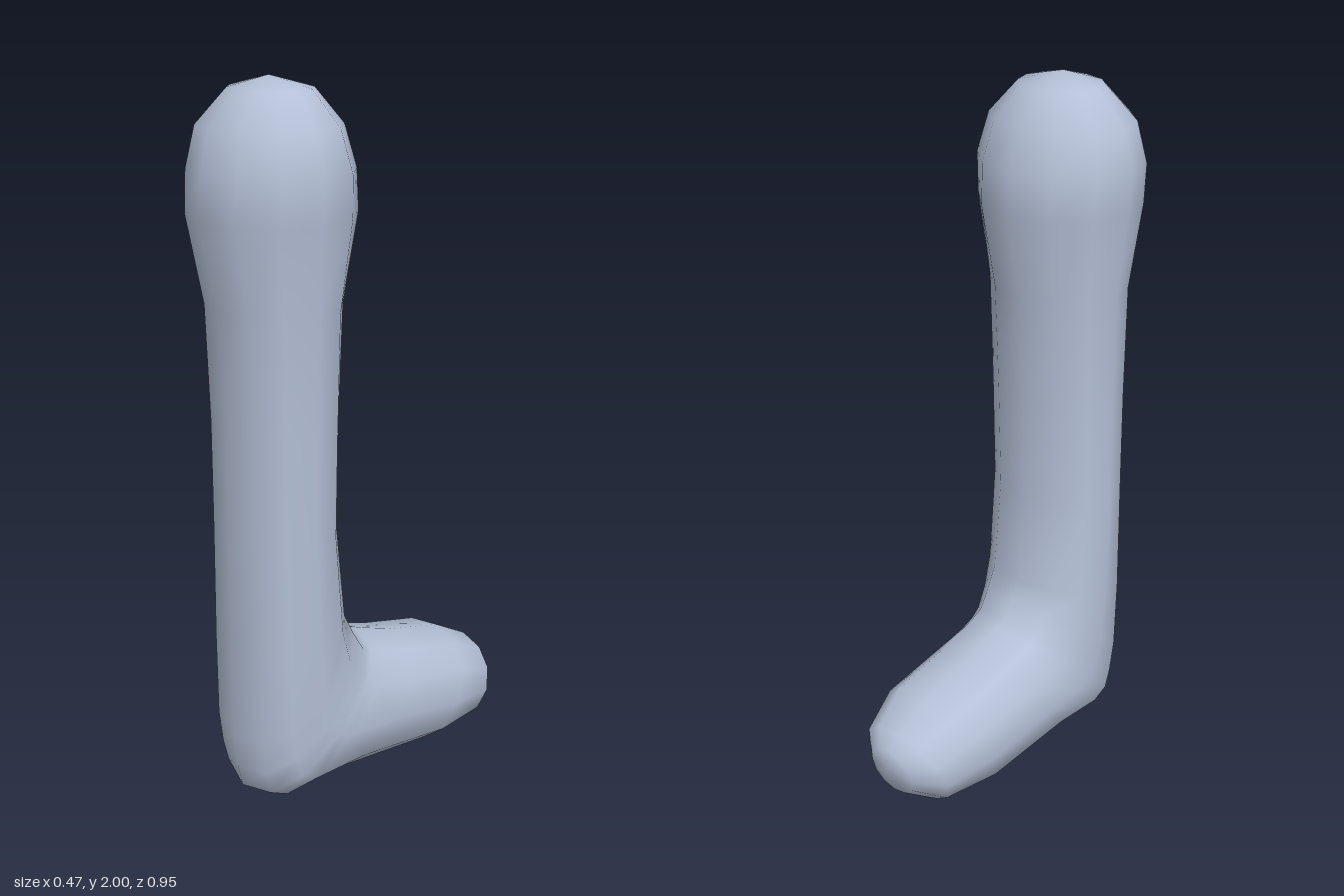
import * as THREE from 'three';

const SIDES = 12;

// Cross-sections from the rounded top, down the shaft, round the heel and out to the toe.
// [outer z, outer y, inner z, inner y, half width, x offset, squareness]
const SECTIONS = [
  [0.36, 1.97, 0.15, 1.97, 0.12, 0, 1],
  [0.44, 1.88, 0.08, 1.88, 0.205, 0, 1],
  [0.465, 1.77, 0.05, 1.77, 0.237, 0, 1],
  [0.475, 1.66, 0.04, 1.66, 0.228, 0, 1],
  [0.425, 1.42, 0.09, 1.42, 0.2, 0, 0.95],
  [0.41, 1.1, 0.108, 1.1, 0.197, -0.003, 0.9],
  [0.41, 0.8, 0.115, 0.8, 0.197, -0.005, 0.9],
  [0.41, 0.45, 0.09, 0.53, 0.2, -0.008, 0.85],
  [0.41, 0.2, 0.055, 0.475, 0.2, -0.01, 0.85],
  [0.4, 0.1, 0.02, 0.42, 0.2, -0.01, 0.85],
  [0.385, 0.03, -0.01, 0.41, 0.2, -0.01, 0.85],
  [0.33, 0.005, -0.05, 0.395, 0.2, -0.01, 0.85],
  [0.15, 0.028, -0.15, 0.362, 0.198, -0.01, 0.85],
  [-0.18, 0.015, -0.32, 0.325, 0.194, -0.01, 0.85],
  [-0.36, 0.025, -0.43, 0.265, 0.155, -0.01, 0.95],
  [-0.45, 0.085, -0.462, 0.225, 0.08, -0.01, 1],
];
const TOP = [0, 2, 0.26];
const TOE = [-0.01, 0.175, -0.475];

// Softly squared sine or cosine
const soft = (v, power) => Math.sign(v) * Math.pow(Math.abs(v), power);

function loft() {
  const points = [...TOP];
  for (const [az, ay, bz, by, width, dx, power] of SECTIONS) {
    for (let i = 0; i < SIDES; i++) {
      const a = (i / SIDES) * Math.PI * 2;
      const c = soft(Math.cos(a), power);
      const s = soft(Math.sin(a), power);
      points.push(
        dx + s * width,
        (ay + by) / 2 + (c * (ay - by)) / 2,
        (az + bz) / 2 + (c * (az - bz)) / 2,
      );
    }
  }
  points.push(...TOE);

  // Join neighbouring sections, closing both ends on a single point
  const last = SECTIONS.length + 1;
  const at = (r, i) => {
    if (r === 0) return 0;
    if (r === last) return 1 + SECTIONS.length * SIDES;
    return 1 + (r - 1) * SIDES + (i % SIDES);
  };
  const faces = [];
  for (let r = 0; r < last; r++) {
    for (let i = 0; i < SIDES; i++) {
      if (r < last - 1) faces.push(at(r + 1, i), at(r + 1, i + 1), at(r, i + 1));
      if (r > 0) faces.push(at(r + 1, i), at(r, i + 1), at(r, i));
    }
  }

  const geometry = new THREE.BufferGeometry();
  geometry.setAttribute('position', new THREE.Float32BufferAttribute(points, 3));
  geometry.setIndex(faces);
  geometry.computeVertexNormals();
  return geometry;
}

export function createModel() {
  const model = new THREE.Group();
  model.name = 'leg';

  const paleBlueGrey = new THREE.MeshStandardMaterial({ color: 0xb4c0d6 });
  paleBlueGrey.name = 'pale blue grey';

  const leg = new THREE.Mesh(loft(), paleBlueGrey);
  leg.name = 'legAndFoot';
  model.add(leg);
  return model;
}
